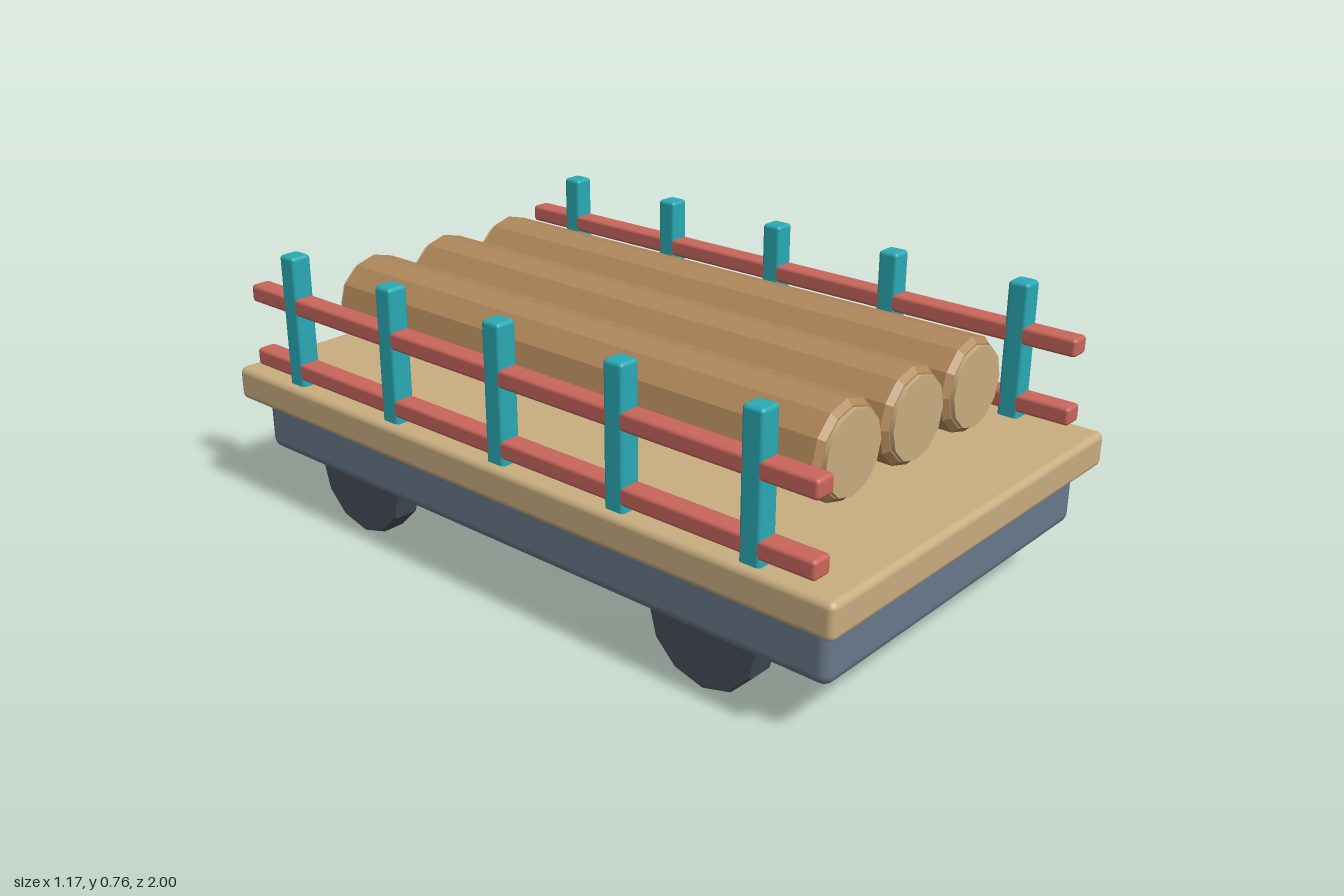
import * as THREE from 'three';
import { RoundedBoxGeometry } from 'three/addons/geometries/RoundedBoxGeometry.js';

const material = (name, color, flatShading = false) => {
  const m = new THREE.MeshStandardMaterial({ color, flatShading });
  m.name = name;
  return m;
};

// Twelve-sided drum along y with chamfered rims
function drum(radius, length, bevel) {
  const h = length / 2;
  const points = [
    [0, -h], [radius - bevel, -h], [radius, -h + bevel],
    [radius, h - bevel], [radius - bevel, h], [0, h],
  ].map(([x, y]) => new THREE.Vector2(x, y));
  return new THREE.LatheGeometry(points, 12);
}

export function createModel() {
  const model = new THREE.Group();
  model.name = 'logTrailer';

  const wood = material('pale wood', 0xc8ad7f);
  const cutWood = wood;
  const bark = material('bark brown', 0xb0875a, true);
  const teal = material('teal', 0x2aaab5);
  const red = material('rail red', 0xc9665c);
  const steel = material('slate grey', 0x687889);
  const rubber = material('dark rubber', 0x464e59, true);

  const add = (name, geometry, mat, x, y, z) => {
    const mesh = new THREE.Mesh(geometry, mat);
    mesh.name = name;
    mesh.position.set(x, y, z);
    model.add(mesh);
  };

  // Chassis and deck
  add('chassis', new RoundedBoxGeometry(1.06, 0.17, 1.915, 3, 0.03), steel, 0, 0.24, 0);
  add('deck', new RoundedBoxGeometry(1.166, 0.093, 2, 3, 0.018), wood, 0, 0.353, 0);

  // Wheels, half hidden in the chassis
  const wheel = drum(0.162, 0.075, 0.006).rotateZ(Math.PI / 2);
  for (const x of [-0.467, 0.467]) {
    for (const z of [-0.597, 0.597]) add('wheel', wheel, rubber, x, 0.162, z);
  }

  // Logs with pale cut ends
  const log = drum(0.122, 1.604, 0.014).rotateX(Math.PI / 2);
  const cut = new THREE.CylinderGeometry(0.104, 0.104, 0.03, 12).rotateX(Math.PI / 2);
  for (const x of [-0.256, 0, 0.256]) {
    add('log', log, bark, x, 0.567, 0);
    for (const z of [-0.798, 0.798]) add('logCutEnd', cut, cutWood, x, 0.567, z);
  }

  // Side fences: posts and two rails
  const post = new RoundedBoxGeometry(0.058, 0.367, 0.058, 2, 0.01);
  const rail = new RoundedBoxGeometry(0.057, 0.048, 1.87, 2, 0.01);
  for (const x of [-0.532, 0.532]) {
    for (let i = -2; i <= 2; i++) add('fencePost', post, teal, x, 0.574, i * 0.383);
    for (const y of [0.441, 0.622]) add('fenceRail', rail, red, x, y, 0);
  }

  return model;
}
